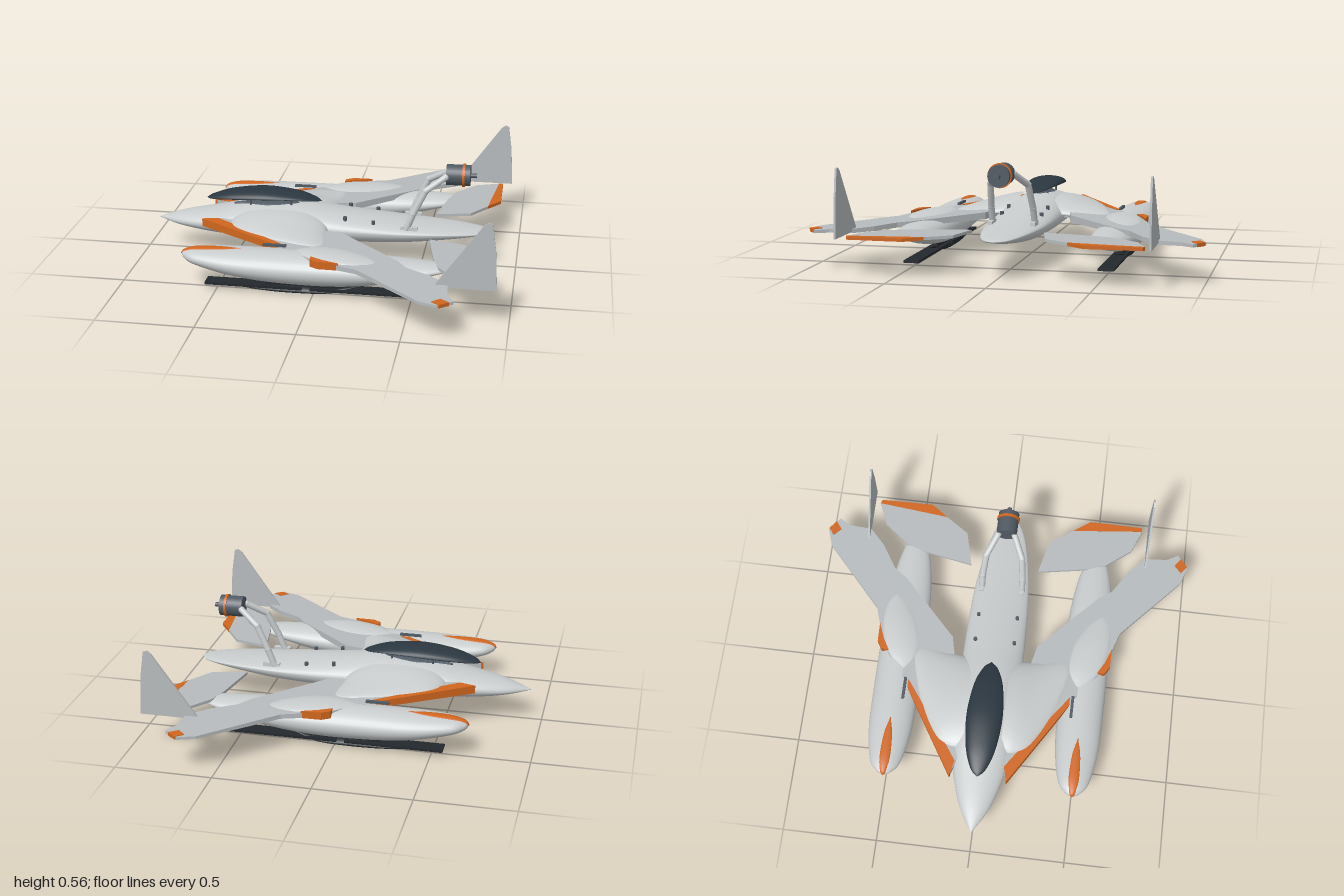
import * as THREE from 'three';

const paint = (name, color, double) => {
  const m = new THREE.MeshStandardMaterial({ color });
  m.name = name;
  if (double) m.side = THREE.DoubleSide;
  return m;
};

// Smooth body along x; sections are [x, halfWidth, top, widestY, bottom, centreZ]
function loft(sections, steps = 40, sides = 32) {
  const V = (a, b, c) => new THREE.Vector3(a, b, c);
  const curve = f => new THREE.CatmullRomCurve3(sections.map(f), false, 'catmullrom', 0.5);
  const a = curve(s => V(s[0], s[1], s[3]));
  const b = curve(s => V(s[2], s[4], s[5] || 0));
  const pos = [], index = [];
  for (let i = 0; i <= steps; i++) {
    const p = a.getPoint(i / steps), q = b.getPoint(i / steps);
    for (let j = 0; j < sides; j++) {
      const t = (j / sides) * Math.PI * 2, s = Math.sin(t);
      const h = s > 0 ? q.x - p.z : p.z - q.y;
      pos.push(p.x, p.z + s * h, q.z + Math.cos(t) * Math.max(p.y, 0));
      if (i === steps) continue;
      const k = i * sides + j, n = i * sides + (j + 1) % sides;
      index.push(k, k + sides, n, n, k + sides, n + sides);
    }
  }
  const g = new THREE.BufferGeometry();
  g.setAttribute('position', new THREE.Float32BufferAttribute(pos, 3));
  g.setIndex(index);
  g.computeVertexNormals();
  return g;
}

// Flat panel from an [x, z] outline; top height may depend on z
function panel(outline, bottom, top) {
  const shape = new THREE.Shape(outline.map(([x, z]) => new THREE.Vector2(x, -z)));
  const g = new THREE.ExtrudeGeometry(shape, { depth: 1, bevelEnabled: false });
  g.rotateX(-Math.PI / 2);
  const p = g.attributes.position;
  for (let i = 0; i < p.count; i++) p.setY(i, p.getY(i) > 0.5 ? top(p.getZ(i)) : bottom);
  g.computeVertexNormals();
  return g;
}

function mirrorZ(geometry) {
  const g = geometry.clone().scale(1, 1, -1);
  const src = g.index ? Array.from(g.index.array) : [...Array(g.attributes.position.count).keys()];
  for (let i = 0; i < src.length; i += 3) [src[i + 1], src[i + 2]] = [src[i + 2], src[i + 1]];
  g.setIndex(src);
  return g;
}

export function createModel() {
  const group = new THREE.Group();
  const hull = paint('hullGrey', 0xc8cccd);
  const wingGrey = paint('wingGrey', 0xb6bbbd);
  const orange = paint('orange', 0xd0661f);
  const glass = paint('canopyDark', 0x2b3740);
  const metal = paint('engineGrey', 0x505a63);
  const black = paint('skiBlack', 0x23282d);

  const add = (name, geometry, material) => {
    const m = new THREE.Mesh(geometry, material);
    m.name = name;
    group.add(m);
  };
  const both = (name, geometry, material) => {
    add(name + 'Left', geometry, material);
    add(name + 'Right', mirrorZ(geometry), material);
  };

  // Central hull and raised canopy
  add('fuselage', loft([
    [-0.94, 0, 0.17, 0.169, 0.168], [-0.8, 0.08, 0.213, 0.172, 0.14],
    [-0.6, 0.14, 0.25, 0.185, 0.117], [-0.4, 0.162, 0.29, 0.195, 0.112],
    [-0.15, 0.165, 0.297, 0.2, 0.112], [0.1, 0.163, 0.268, 0.2, 0.112],
    [0.4, 0.15, 0.238, 0.2, 0.125], [0.65, 0.115, 0.22, 0.2, 0.155],
    [0.81, 0.065, 0.208, 0.197, 0.182], [0.865, 0, 0.197, 0.196, 0.195],
  ], 56, 40), hull);
  add('canopy', loft([
    [-0.67, 0, 0.298, 0.297, 0.296], [-0.63, 0.04, 0.32, 0.304, 0.299],
    [-0.52, 0.078, 0.352, 0.32, 0.31], [-0.35, 0.095, 0.37, 0.333, 0.324],
    [-0.18, 0.077, 0.355, 0.332, 0.326], [-0.08, 0.04, 0.33, 0.32, 0.317],
    [-0.04, 0, 0.314, 0.313, 0.312],
  ]), glass);
  add('cockpit', loft([
    [-0.52, 0, 0.28, 0.27, 0.26], [-0.35, 0.06, 0.301, 0.28, 0.26],
    [-0.2, 0.045, 0.302, 0.28, 0.26], [-0.1, 0, 0.285, 0.28, 0.26],
  ], 20, 20), metal);
  for (const x of [-0.42, -0.2]) {
    both('canopyPost', new THREE.CylinderGeometry(0.006, 0.006, 0.06, 8).translate(x, 0.305, 0.04), metal);
  }
  for (const x of [0.1, 0.25]) {
    both('hullBolt', new THREE.CylinderGeometry(0.01, 0.01, 0.04, 12).translate(x, 0.25 - (x - 0.1) * 0.1, 0.105), metal);
  }

  // Side floats with nose flash
  const floatShape = [
    [-0.685, 0, 0.178, 0.175, 0.172], [-0.665, 0.04, 0.195, 0.172, 0.15],
    [-0.6, 0.083, 0.21, 0.165, 0.125], [-0.42, 0.115, 0.217, 0.15, 0.082],
    [-0.2, 0.122, 0.22, 0.14, 0.058], [0.1, 0.122, 0.22, 0.14, 0.055],
    [0.35, 0.115, 0.215, 0.15, 0.085], [0.55, 0.088, 0.207, 0.165, 0.135],
    [0.68, 0.045, 0.198, 0.182, 0.17], [0.74, 0, 0.19, 0.189, 0.188],
  ].map(s => [...s, 0.5]);
  both('float', loft(floatShape, 56), hull);
  both('floatFlash', loft([
    [-0.688, 0, 0.178, 0.175, 0.172, 0.5], [-0.667, 0.019, 0.199, 0.185, 0.17, 0.5],
    [-0.6, 0.028, 0.214, 0.206, 0.2, 0.5], [-0.47, 0.023, 0.219, 0.212, 0.205, 0.5],
    [-0.37, 0, 0.219, 0.215, 0.21, 0.5],
  ], 24, 16), orange);
  both('floatFairing', loft([
    [-0.12, 0, 0.214, 0.212, 0.2, 0.47], [0, 0.085, 0.232, 0.208, 0.19, 0.49],
    [0.15, 0.1, 0.234, 0.206, 0.19, 0.52], [0.28, 0.06, 0.222, 0.205, 0.19, 0.55],
    [0.34, 0, 0.212, 0.205, 0.2, 0.57],
  ], 30, 24), hull);

  // Skis under the floats
  both('skiKeel', loft([
    [-0.39, 0.03, 0.03, 0.025, 0.022, 0.5], [-0.27, 0.04, 0.035, 0.018, 0.006, 0.5],
    [-0.1, 0.042, 0.04, 0.015, 0, 0.5], [0.08, 0.04, 0.038, 0.02, 0.01, 0.5],
    [0.22, 0.01, 0.052, 0.049, 0.046, 0.5],
  ], 24, 16), black);
  for (const [x0, x1] of [[-0.56, -0.055], [-0.015, 0.575]]) {
    both('skiBlade', new THREE.BoxGeometry(x1 - x0, 0.012, 0.08).translate((x0 + x1) / 2, 0.03, 0.5), black);
  }
  both('skiStem', new THREE.BoxGeometry(0.4, 0.04, 0.03).translate(-0.05, 0.048, 0.5), black);

  // Wings with orange edges and tips
  const wingTop = z => 0.232 - 0.03 * z;
  const trimTop = z => wingTop(z) + 0.003;
  both('wing', panel([
    [-0.66, 0.15], [-0.17, 0.45], [0, 0.58], [0.1, 0.62], [0.24, 0.665], [0.58, 0.97],
    [0.67, 1], [0.745, 0.945], [0.71, 0.885], [0.7, 0.765], [0.61, 0.68], [0.48, 0.6],
    [0.43, 0.53], [0.11, 0.23], [-0.02, 0.2], [-0.1, 0.1], [-0.5, 0.1],
  ], 0.188, wingTop), wingGrey);
  both('wingEdgeTrim', panel([[-0.663, 0.15], [-0.2, 0.435], [-0.155, 0.435], [-0.5, 0.185], [-0.58, 0.13]], 0.187, trimTop), orange);
  both('wingFloatTrim', panel([[-0.003, 0.565], [-0.003, 0.603], [0.04, 0.63], [0.145, 0.632], [0.06, 0.6]], 0.187, z => 0.226), orange);
  both('wingTipTrim', panel([[0.64, 0.968], [0.68, 0.93], [0.725, 0.963], [0.68, 0.998]], 0.187, trimTop), orange);
  both('wingVent', new THREE.BoxGeometry(0.12, 0.012, 0.015).translate(-0.21, 0.227, 0.45), metal);

  // Swollen wing root: cross-sections run outwards, so the body is turned to z
  both('wingRoot', loft([
    [0.1, 0.26, 0.288, 0.21, 0.19, 0.25], [0.17, 0.262, 0.28, 0.21, 0.19, 0.245],
    [0.25, 0.245, 0.262, 0.207, 0.19, 0.22], [0.34, 0.18, 0.242, 0.204, 0.19, 0.135],
    [0.4, 0.095, 0.228, 0.202, 0.19, 0.05], [0.43, 0, 0.212, 0.202, 0.19, 0.01],
  ], 30, 40).rotateY(-Math.PI / 2), hull);

  // Tailplanes
  both('tailplane', panel([
    [0.555, 0.185], [0.74, 0.23], [0.825, 0.355], [0.865, 0.735], [0.74, 0.685], [0.635, 0.55], [0.6, 0.44],
  ], 0.188, () => 0.203), wingGrey);
  both('tailplaneTrim', panel([[0.825, 0.355], [0.89, 0.445], [0.887, 0.73], [0.865, 0.735]], 0.187, () => 0.204), orange);

  // Upright fins
  const fin = new THREE.Shape([[0.63, 0.195], [0.865, 0.525], [0.885, 0.54], [0.905, 0.535], [0.925, 0.4], [0.937, 0.195]]
    .map(p => new THREE.Vector2(...p)));
  both('fin', new THREE.ExtrudeGeometry(fin, { depth: 0.01, bevelEnabled: false }).translate(0, 0, 0.765), wingGrey);

  // Engine pod on bent struts
  const barrel = (r, x0, x1) => new THREE.CylinderGeometry(r, r, x1 - x0, 28).rotateZ(Math.PI / 2).translate((x0 + x1) / 2, 0.5, 0);
  add('enginePod', barrel(0.055, 0.62, 0.745), metal);
  add('engineRing', barrel(0.061, 0.704, 0.718), orange);
  add('engineHub', barrel(0.012, 0.74, 0.778), metal);
  const joints = [[0.42, 0.21, 0.11], [0.46, 0.31, 0.108], [0.52, 0.435, 0.096], [0.62, 0.5, 0.045]]
    .map(p => new THREE.Vector3(...p));
  for (let i = 0; i < 3; i++) {
    const line = new THREE.LineCurve3(joints[i], joints[i + 1]);
    both('engineStrut', new THREE.TubeGeometry(line, 1, 0.017, 12), hull);
    both('strutJoint', new THREE.SphereGeometry(0.018, 12, 8).translate(...joints[i + 1].toArray()), hull);
  }
  both('strutFoot', new THREE.BoxGeometry(0.09, 0.02, 0.025).translate(0.44, 0.228, 0.11), hull);
  return group;
}
